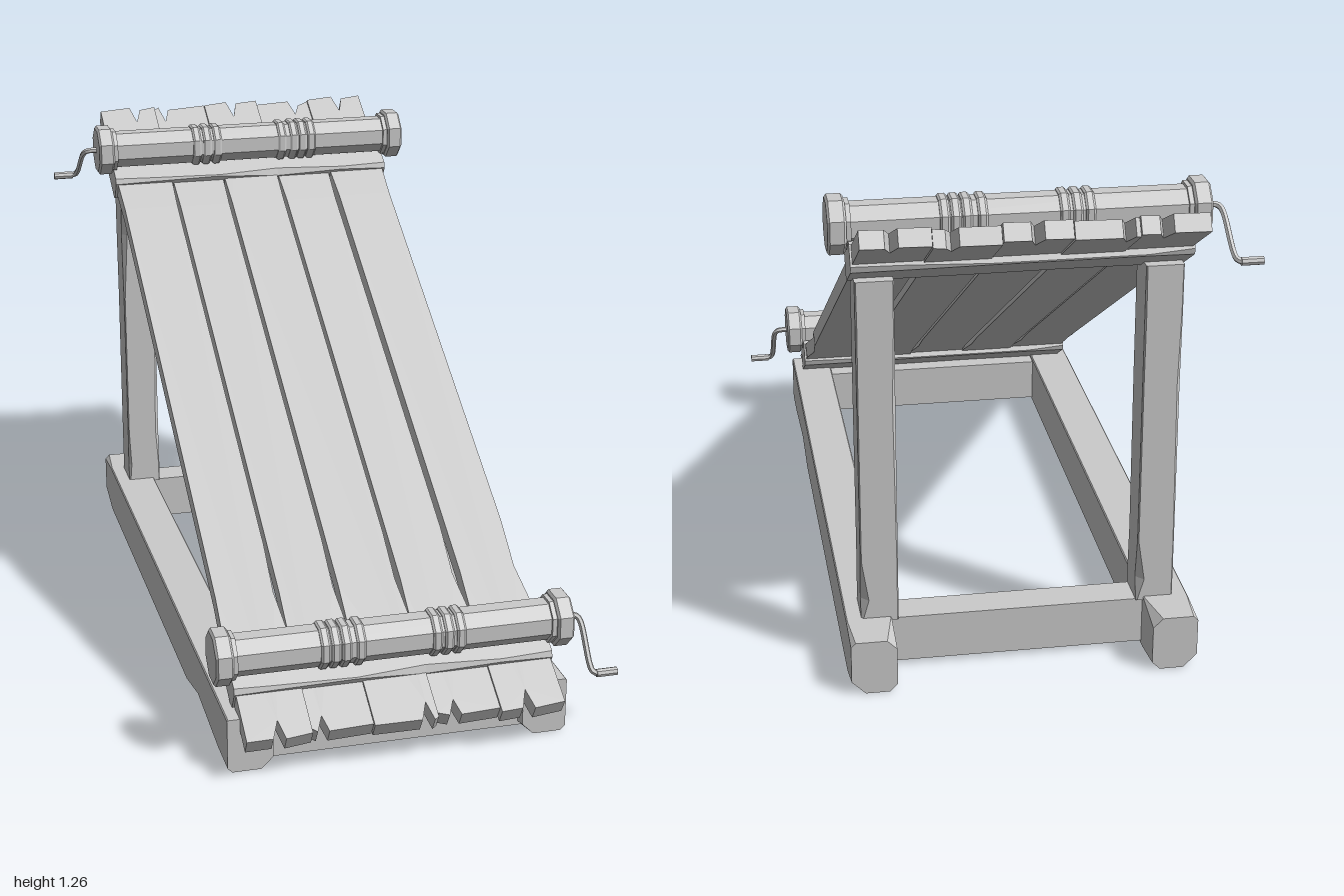
import * as THREE from 'three';

const material = new THREE.MeshStandardMaterial({ color: 0xcccccc, flatShading: true, side: THREE.DoubleSide });

function add(parent, name, geometry, x = 0, y = 0, z = 0) {
  const mesh = new THREE.Mesh(geometry, material);
  mesh.name = name;
  mesh.position.set(x, y, z);
  parent.add(mesh);
  return mesh;
}

// Rough-hewn beam along z. Each station: [z, chamfers of corners (+x+y, -x+y, -x-y, +x-y)]
function hewnBeam(w, h, stations) {
  const pos = [], index = [], a = w / 2, b = h / 2;
  for (const [z, c] of stations) {
    const [p, q, r, s] = c.map(v => Math.max(v, 0.003));
    pos.push(a, b - p, z, a - p, b, z, q - a, b, z, -a, b - q, z,
      -a, r - b, z, r - a, -b, z, a - s, -b, z, a, s - b, z);
  }
  const n = stations.length;
  for (let i = 0; i < n - 1; i++) {
    for (let j = 0; j < 8; j++) {
      const k = i * 8 + j, l = i * 8 + (j + 1) % 8;
      index.push(k, l, l + 8, k, l + 8, k + 8);
    }
  }
  for (let j = 1; j < 7; j++) {
    const e = (n - 1) * 8;
    index.push(0, j + 1, j, e, e + j, e + j + 1);
  }
  const g = new THREE.BufferGeometry();
  g.setAttribute('position', new THREE.Float32BufferAttribute(pos, 3));
  g.setIndex(index);
  return g.toNonIndexed();
}

// Plank outline: split, uneven ends and slightly hollowed long edges
function plank(x0, x1, low, high, lowNotch, highNotch, inset) {
  const w = x1 - x0, s = new THREE.Shape();
  const at = (f, y) => s.lineTo(x0 + w * f, y);
  s.moveTo(x0, -1.138 + low);
  at(lowNotch - 0.12, -1.13 + low * 0.4);
  at(lowNotch, -1.075);
  at(lowNotch + 0.07, -1.135 + low * 0.5);
  at(1, -1.125 + low * 0.3);
  at(1, -0.82);
  s.lineTo(x1 - inset * 2.2, -0.7);
  s.lineTo(x1 - inset, -0.55);
  s.lineTo(x1 - inset, 0.7);
  at(1, 0.88);
  at(1, 1.138 - high * 0.6);
  at(highNotch + 0.1, 1.132 - high);
  at(highNotch, 1.07);
  at(highNotch - 0.08, 1.138 - high * 0.4);
  at(0, 1.128 - high * 0.3);
  at(0, 0.86);
  s.lineTo(x0 + inset, 0.7);
  s.lineTo(x0 + inset, -0.7);
  at(0, -0.85);
  s.closePath();
  const g = new THREE.ExtrudeGeometry(s, { depth: 0.045, bevelEnabled: false });
  return g.translate(0, 0, -0.0225);
}

// Octagonal turned piece lying along x, profile as [radius, x]
function turned(profile) {
  const g = new THREE.LatheGeometry(profile.map(p => new THREE.Vector2(p[0], p[1])), 8);
  return g.rotateY(Math.PI / 8).rotateZ(-Math.PI / 2);
}

// Roller with end caps, rope coils and a crank on one side
function roller(name, side, y, z, crankDy, crankDz) {
  const g = new THREE.Group();
  g.name = name;
  g.position.set(0, y, z);
  add(g, 'rollerBarrel', turned([[0.054, -0.42], [0.054, 0.42]]));
  for (const m of [-1, 1]) {
    add(g, 'rollerCap', turned([[0, -0.0225], [0.066, -0.0225], [0.073, -0.017], [0.073, 0.017], [0.066, 0.0225], [0, 0.0225]]), m * 0.441);
    add(g, 'rollerCollar', turned([[0, -0.006], [0.062, -0.006], [0.062, 0.006], [0, 0.006]]), m * 0.413);
  }
  for (const x of [-0.184, -0.157, -0.13, -0.093, 0.105, 0.136, 0.167]) {
    add(g, 'ropeCoil', turned([[0.052, -0.012], [0.057, -0.012], [0.061, -0.007], [0.061, 0.007], [0.057, 0.012], [0.052, 0.012]]), x * side);
  }
  const path = [[0.455, 0], [0.485, 0], [0.495, 0.04], [0.501, 0.15], [0.506, 0.85], [0.511, 0.96], [0.525, 1], [0.56, 1]]
    .map(([x, t]) => new THREE.Vector3(x * side, crankDy * t, crankDz * t));
  const curve = new THREE.CatmullRomCurve3(path, false, 'centripetal');
  add(g, 'crank', new THREE.TubeGeometry(curve, 32, 0.008, 6));
  add(g, 'crankHandle', new THREE.CylinderGeometry(0.011, 0.011, 0.055, 8).rotateZ(Math.PI / 2),
    side * 0.547, crankDy, crankDz);
  return g;
}

export function createModel() {
  const model = new THREE.Group();
  model.name = 'inclinedRack';

  // Base rails, chipped along the lower edges at both ends
  for (const m of [-1, 1]) {
    const lower = (out, inn) => m > 0 ? [0, 0, inn, out] : [0, 0, out, inn];
    const rail = hewnBeam(0.116, 0.145, [
      [-0.9, m > 0 ? [0.012, 0.025, 0.02, 0.035] : [0.025, 0.012, 0.035, 0.02]],
      [-0.79, lower(0, 0)], [0.4, lower(0, 0)],
      [0.55, lower(0.035, 0)], [0.8, lower(0.012, 0.004)], [0.91, lower(0.012, 0.03)],
    ]);
    add(model, m > 0 ? 'leftRail' : 'rightRail', rail, m * 0.384, 0.0725, 0);

    // Rear posts
    const post = hewnBeam(0.095, 0.105, [
      [0, [0, 0, 0, 0]], [0.06, [0.02, 0, 0.008, 0]], [0.17, [0, 0, 0, 0.01]],
      [0.6, [0, 0.008, 0, 0]], [0.8, [0.004, 0, 0.015, 0]], [0.92, [0, 0, 0, 0]],
    ]).rotateX(-Math.PI / 2);
    add(model, m > 0 ? 'leftPost' : 'rightPost', post, m * 0.355, 0.135, -0.728);
  }

  // Cross members of the base
  for (const [name, z] of [['frontCrossbar', 0.83], ['rearCrossbar', -0.728]]) {
    add(model, name, new THREE.BoxGeometry(0.68, 0.125, 0.09), 0, 0.0735, z);
  }

  // Sloping deck of five planks; local y runs up the slope
  const deck = new THREE.Group();
  deck.name = 'deck';
  deck.position.y = 0.665;
  deck.rotation.x = 0.525 - Math.PI / 2;
  model.add(deck);
  const planks = [
    [-0.41, -0.243, 0.012, 0.01, 0.52, 0.62, 0.005],
    [-0.242, -0.087, 0.03, 0.012, 0.2, 0.16, 0.004],
    [-0.086, 0.079, 0.015, 0.004, 0.86, 0.5, 0.004],
    [0.08, 0.241, 0.03, 0.025, 0.3, 0.7, 0.006],
    [0.242, 0.41, 0.008, 0.008, 0.45, 0.55, 0.006],
  ];
  planks.forEach((p, i) => {
    const mesh = add(deck, 'plank' + (i + 1), plank(...p));
    mesh.position.z = (i % 2 ? -0.002 : 0.002);
  });

  // Battens clasping the planks above and below
  for (const [name, v] of [['lowerBatten', -0.925], ['upperBatten', 0.87]]) {
    const batten = hewnBeam(0.135, 0.078, [
      [-0.415, [0.012, 0.012, 0.012, 0.012]], [-0.3, [0.004, 0.008, 0, 0]], [-0.1, [0, 0.003, 0.01, 0]],
      [0.08, [0.008, 0.016, 0, 0]], [0.28, [0, 0.006, 0, 0.01]], [0.415, [0.012, 0.012, 0.012, 0.012]],
    ]).rotateY(Math.PI / 2).rotateX(Math.PI / 2);
    batten.rotateZ(0);
    // Turn the section so its long side follows the slope
    add(deck, name, batten, 0, v, 0);
  }

  model.add(roller('lowerRoller', 1, 0.281, 0.83, -0.128, 0.085));
  model.add(roller('upperRoller', -1, 1.187, -0.73, -0.103, -0.128));
  return model;
}
